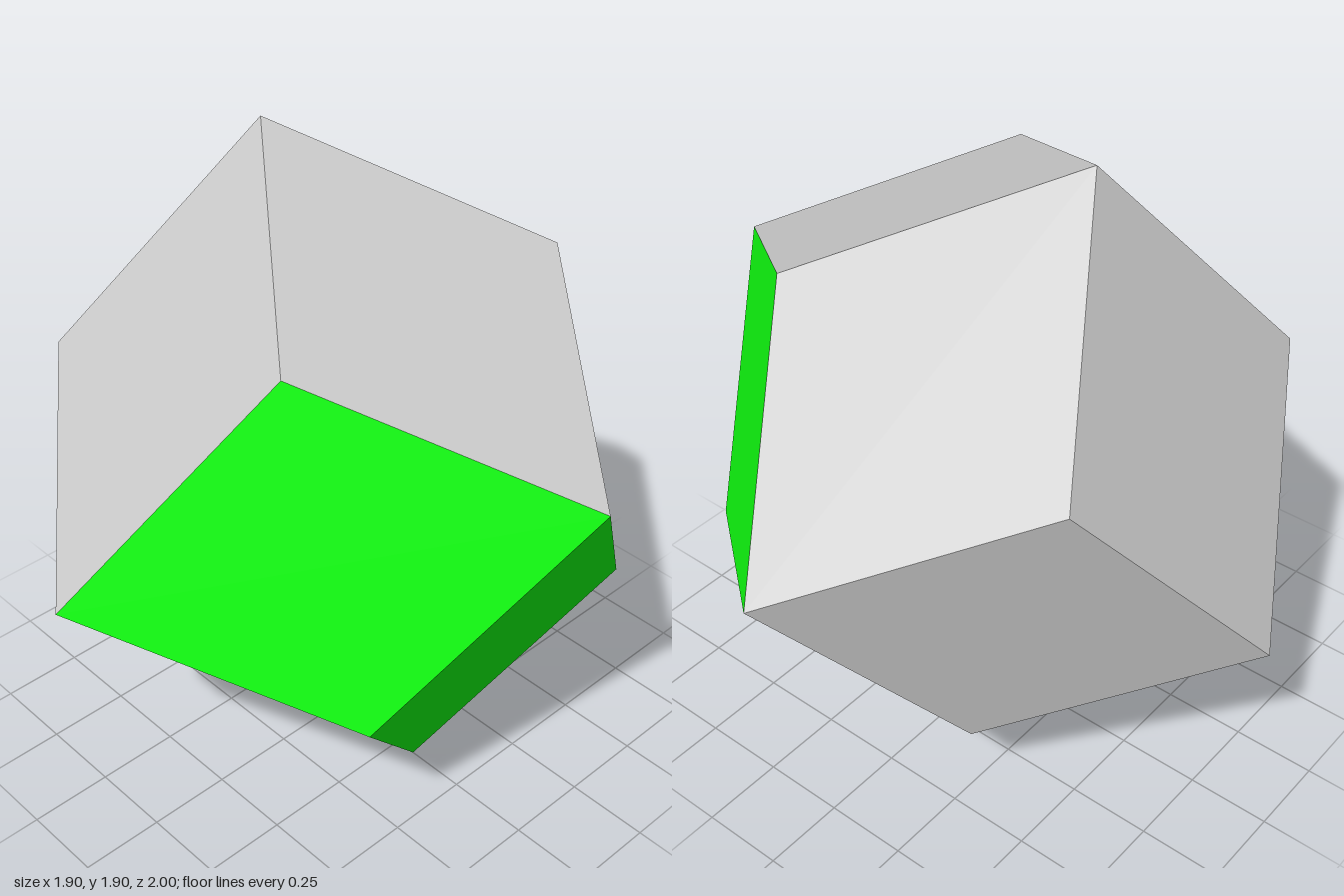
import * as THREE from 'three';

const grey = new THREE.MeshStandardMaterial({ color: 0xcccccc, flatShading: true });
const green = new THREE.MeshStandardMaterial({ color: 0x10ff10 });
green.flatShading = true;

// One rhombus spanning two perpendicular axis tips a and b
function rhombus(a, b) {
  const c = a.clone().cross(b);
  const mid = a.clone().add(b);
  const near = mid.clone().sub(c).multiplyScalar(0.5);
  const far = mid.clone().add(c).multiplyScalar(0.5);
  const geometry = new THREE.BufferGeometry().setFromPoints([a, near, b, far]);
  geometry.setIndex([0, 1, 2, 0, 2, 3]);
  geometry.computeVertexNormals();
  return geometry;
}

export function createModel() {
  const model = new THREE.Group();
  model.name = 'rhombicDodecahedron';

  const axes = [
    new THREE.Vector3(1, 0, 0),
    new THREE.Vector3(0, 1, 0),
    new THREE.Vector3(0, 0, 1),
  ];

  // Twelve faces: each pair of axes with every combination of signs
  for (const [i, j] of [[0, 1], [1, 2], [0, 2]]) {
    for (const s of [1, -1]) {
      for (const t of [1, -1]) {
        const a = axes[i].clone().multiplyScalar(s);
        const b = axes[j].clone().multiplyScalar(t);
        // Three faces around the +x tip are green, the upper one stays grey
        const isGreen = a.x === 1 && b.y !== 1;
        const face = new THREE.Mesh(rhombus(a, b), isGreen ? green : grey);
        face.name = isGreen ? 'greenFace' : 'greyFace';
        model.add(face);
      }
    }
  }

  // Tilted about z, lowest tip on the ground
  const tilt = Math.atan(1 / 3);
  model.rotation.z = tilt;
  model.position.y = Math.cos(tilt);

  const root = new THREE.Group();
  root.name = 'solid';
  root.add(model);
  return root;
}
